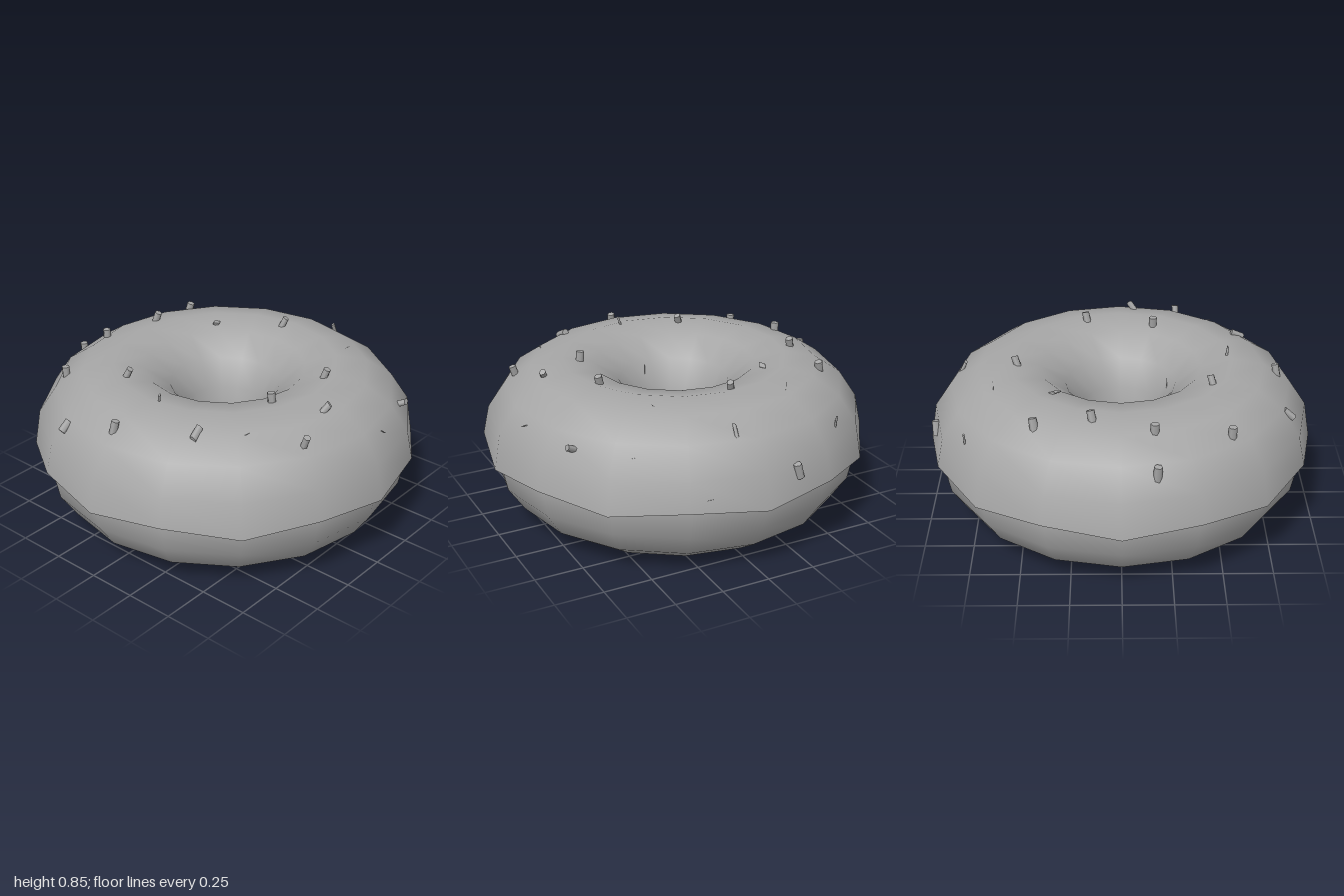
import * as THREE from 'three';

const SIDES = 16;        // steps around the ring
const RING = 0.575;      // ring radius at the tube centre
const MID = 0.39;        // height of the tube centre
const DOUGH = 0.39;      // dough tube radius
const ICING = 0.422;     // icing tube radius

const grey = new THREE.MeshStandardMaterial({ color: 0xa6a6a6 });
grey.name = 'grey';

// Icing thins out towards the hole, where it meets the dough
function icingRadius(t) {
  const k = THREE.MathUtils.smoothstep(t, Math.PI * 0.55, Math.PI);
  return THREE.MathUtils.lerp(ICING, DOUGH + 0.002, k);
}

function ringPoint(t, r) {
  return new THREE.Vector2(RING + r * Math.cos(t), MID + r * Math.sin(t));
}

// Shifts one row of a lathe up and down to make the wavy drip edge
function waveRow(geometry, row, rows, high, low) {
  const pos = geometry.attributes.position;
  for (let i = 0; i <= SIDES; i++) pos.setY(i * rows + row, i % 2 ? high : low);
}

function part(name, geometry) {
  const mesh = new THREE.Mesh(geometry, grey);
  mesh.name = name;
  return mesh;
}

// Plan position x, z and plan direction in degrees (from +x towards +z)
const SPRINKLES = [
  [-0.18, -0.94, 40], [0.29, -0.935, 10], [0.095, -0.82, -8], [-0.5, -0.76, -60],
  [-0.29, -0.63, -85], [0.57, -0.7, 35], [0.77, -0.47, 65], [0.385, -0.535, -85],
  [-0.04, -0.53, 42], [-0.62, -0.415, 50], [-0.34, -0.325, -28], [-0.615, -0.14, 50],
  [0.5, -0.18, 50], [0.88, -0.15, 55], [0.69, 0.075, 40], [-0.7, 0.155, 72],
  [-0.87, 0.165, 55], [0.45, 0.18, 90], [0.05, 0.245, -42], [0.755, 0.315, 88],
  [0.545, 0.48, -60], [-0.26, 0.455, 50], [0.05, 0.55, -55], [-0.63, 0.525, 58],
  [0.36, 0.63, -4], [-0.01, 0.8, 40], [-0.315, 0.835, -65],
];

function placeSprinkle(mesh, x, z, degrees) {
  // Allow for the flat sides of the ring
  const step = (2 * Math.PI) / SIDES;
  const a = Math.atan2(z, x) + 2 * Math.PI;
  const off = (a % step) - step / 2;
  const rho = Math.hypot(x, z) * Math.cos(off) / Math.cos(step / 2);
  let t = Math.PI / 2;
  for (let i = 0; i < 8; i++) {
    t = Math.acos(THREE.MathUtils.clamp((rho - RING) / (icingRadius(t) * 0.992), -0.985, 0.985));
  }
  const y = MID + icingRadius(t) * 0.992 * Math.sin(t);
  const normal = new THREE.Vector3(Math.cos(t) * Math.cos(a), Math.sin(t), Math.cos(t) * Math.sin(a));
  // Lay the sprinkle along the surface
  const d = THREE.MathUtils.degToRad(degrees);
  const along = new THREE.Vector3(Math.cos(d), 0, Math.sin(d));
  along.y = -(normal.x * along.x + normal.z * along.z) / normal.y;
  along.normalize();
  const side = new THREE.Vector3().crossVectors(along, normal);
  mesh.quaternion.setFromRotationMatrix(new THREE.Matrix4().makeBasis(side.negate(), along, normal));
  mesh.position.set(x, y, z).addScaledVector(normal, 0.004);
}

export function createModel() {
  const model = new THREE.Group();
  model.name = 'donut';

  // Dough ring, its seam hidden beneath the icing
  const doughProfile = [];
  for (let j = 0; j <= 16; j++) {
    doughProfile.push(ringPoint(Math.PI / 2 + (j / 16) * Math.PI * 2, DOUGH));
  }
  model.add(part('dough', new THREE.LatheGeometry(doughProfile, SIDES)));

  // Icing over the top half, from the wavy rim into the hole
  const icingProfile = [];
  for (let j = 0; j <= 8; j++) {
    const t = (j / 8) * Math.PI;
    icingProfile.push(ringPoint(t, icingRadius(t)));
  }
  const icing = new THREE.LatheGeometry(icingProfile, SIDES);
  waveRow(icing, 0, 9, 0.402, 0.365);
  model.add(part('icing', icing));

  // Underside of the icing rim
  const rim = RING + ICING;
  const lip = new THREE.LatheGeometry([new THREE.Vector2(0.955, 0.4), new THREE.Vector2(rim, 0.39)], SIDES);
  waveRow(lip, 0, 2, 0.412, 0.375);
  waveRow(lip, 1, 2, 0.402, 0.365);
  lip.computeVertexNormals();
  model.add(part('icingLip', lip));

  // Sprinkles scattered over the icing
  const sprinkles = new THREE.Group();
  sprinkles.name = 'sprinkles';
  const rod = new THREE.CylinderGeometry(0.021, 0.021, 0.08, 6);
  for (const [x, z, degrees] of SPRINKLES) {
    const mesh = part('sprinkle', rod);
    placeSprinkle(mesh, x, z, degrees);
    sprinkles.add(mesh);
  }
  model.add(sprinkles);
  return model;
}
